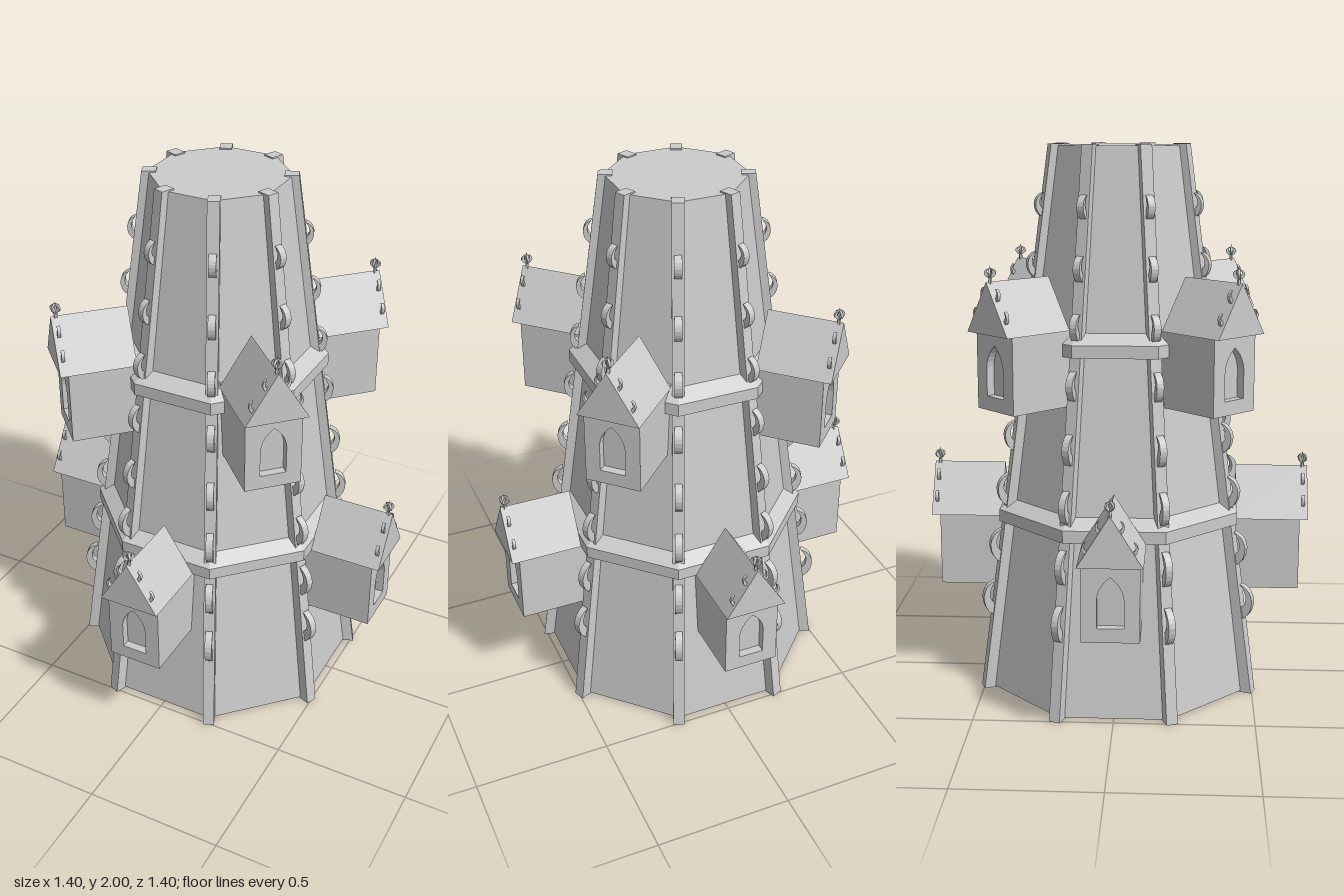
import * as THREE from 'three';

const stone = new THREE.MeshStandardMaterial({ color: 0xcccccc, flatShading: true });
stone.name = 'pale stone';

function add(parent, name, geometry, x = 0, y = 0, z = 0) {
  const mesh = new THREE.Mesh(geometry, stone);
  mesh.name = name;
  mesh.position.set(x, y, z);
  parent.add(mesh);
  return mesh;
}

const polygon = (pts) => new THREE.Shape(pts.map(([x, y]) => new THREE.Vector2(x, y)));

// Extrusion centred on its own thickness
function slab(shape, depth, curveSegments = 5) {
  return new THREE.ExtrudeGeometry(shape, { depth, bevelEnabled: false, curveSegments })
    .translate(0, 0, -depth / 2);
}

// Hooked leaf that bulges outward along +x and curls back at its tip
function hookGeometry(thickness) {
  const s = new THREE.Shape();
  s.moveTo(-0.01, -0.07);
  s.quadraticCurveTo(0.035, -0.06, 0.045, 0.0);
  s.quadraticCurveTo(0.045, 0.05, 0.005, 0.068);
  s.quadraticCurveTo(0.028, 0.03, 0.02, 0.005);
  s.quadraticCurveTo(0.012, -0.02, -0.01, -0.025);
  s.closePath();
  return slab(s, thickness);
}

// Pointed arch outline standing on y = base
function pointedArch(half, base, spring, top) {
  const p = new THREE.Path();
  p.moveTo(-half, base);
  p.lineTo(half, base);
  p.lineTo(half, spring);
  p.quadraticCurveTo(half * 0.9, spring + (top - spring) * 0.6, 0, top);
  p.quadraticCurveTo(-half * 0.9, spring + (top - spring) * 0.6, -half, spring);
  p.closePath();
  return p;
}

const hook = hookGeometry(0.026);

// Dormer facing +z; heights are measured from the underside of its body
function createDormer(inner, front) {
  const g = new THREE.Group();
  g.name = 'dormer';
  const wall = front - 0.03, back = inner - 0.04, recess = 0.03;
  const bodyEnd = wall - recess;
  add(g, 'dormerBody', new THREE.BoxGeometry(0.2, 0.27, bodyEnd - back), 0, 0.135, (bodyEnd + back) / 2);

  // Front wall pierced by the niche
  const face = polygon([[-0.1, 0], [0.1, 0], [0.1, 0.27], [-0.1, 0.27]]);
  face.holes.push(pointedArch(0.046, 0.05, 0.15, 0.23));
  add(g, 'dormerFront', slab(face, recess), 0, 0, wall - recess / 2);

  // Gabled roof
  const gable = polygon([[-0.112, 0.27], [0.112, 0.27], [0, 0.45]]);
  add(g, 'dormerRoof', slab(gable, front - inner), 0, 0, (front + inner) / 2);

  // Little hooks up both gable edges
  for (const side of [-1, 1]) {
    for (const x of [0.033, 0.078]) {
      const leaf = add(g, 'gableHook', hook, side * x, 0.45 - x * 1.607 + 0.008, front - 0.018);
      leaf.scale.set(0.35 * side, 0.35, 0.45 * side);
    }
  }

  // Finial: stem, bud and four leaves
  const finial = new THREE.Group();
  finial.name = 'finial';
  finial.position.set(0, 0.445, front - 0.018);
  add(finial, 'finialStem', new THREE.CylinderGeometry(0.005, 0.008, 0.03, 6), 0, 0.012, 0);
  add(finial, 'finialBud', new THREE.ConeGeometry(0.008, 0.035, 6), 0, 0.043, 0);
  for (let i = 0; i < 4; i++) {
    const leaf = add(finial, 'finialLeaf', hook, 0, 0.033, 0);
    leaf.rotation.y = i * Math.PI / 2 + Math.PI / 4;
    leaf.scale.set(0.45, 0.25, 0.3);
  }
  g.add(finial);
  return g;
}

export function createModel() {
  const model = new THREE.Group();
  model.name = 'spire';

  // Tapering eight-sided shaft
  add(model, 'shaft', new THREE.CylinderGeometry(0.247, 0.514, 1.99, 8).rotateY(Math.PI / 8), 0, 1.0, 0);

  // String courses with a sloping top
  for (const [y, wallR, outR] of [[0.64, 0.38, 0.435], [1.28, 0.3, 0.36]]) {
    const profile = [[wallR, 0], [outR, 0], [outR, 0.045], [wallR, 0.085]]
      .map(([a, h]) => new THREE.Vector2(a / Math.cos(Math.PI / 8), h));
    add(model, 'stringCourse', new THREE.LatheGeometry(profile, 8).rotateY(Math.PI / 8), 0, y, 0);
  }

  // Corner ribs lined with hooks
  const ribShape = polygon([[0.48, 0], [0.546, 0], [0.264, 2], [0.215, 2]]);
  const ribGeometry = slab(ribShape, 0.042);
  const hookHeights = [0.35, 0.55, 0.76, 0.96, 1.18, 1.38, 1.58, 1.79];
  for (let i = 0; i < 8; i++) {
    const corner = new THREE.Group();
    corner.name = 'corner';
    corner.rotation.y = Math.PI / 8 + i * Math.PI / 4;
    add(corner, 'rib', ribGeometry);
    for (const y of hookHeights) {
      const leaf = add(corner, 'ribHook', hook, 0.546 - 0.141 * y, y, 0);
      const s = 1.05 - 0.25 * y;
      leaf.scale.set(s, s, 1);
      leaf.rotation.z = 0.14;
    }
    model.add(corner);
  }

  // Two tiers of dormers, the upper tier turned by an eighth
  const tiers = [
    { y: 0.37, inner: 0.434, front: 0.7, turn: 0 },
    { y: 1.1, inner: 0.337, front: 0.607, turn: Math.PI / 4 },
  ];
  for (const t of tiers) {
    for (let i = 0; i < 4; i++) {
      const dormer = createDormer(t.inner, t.front);
      dormer.position.y = t.y;
      dormer.rotation.y = t.turn + i * Math.PI / 2;
      model.add(dormer);
    }
  }
  return model;
}
